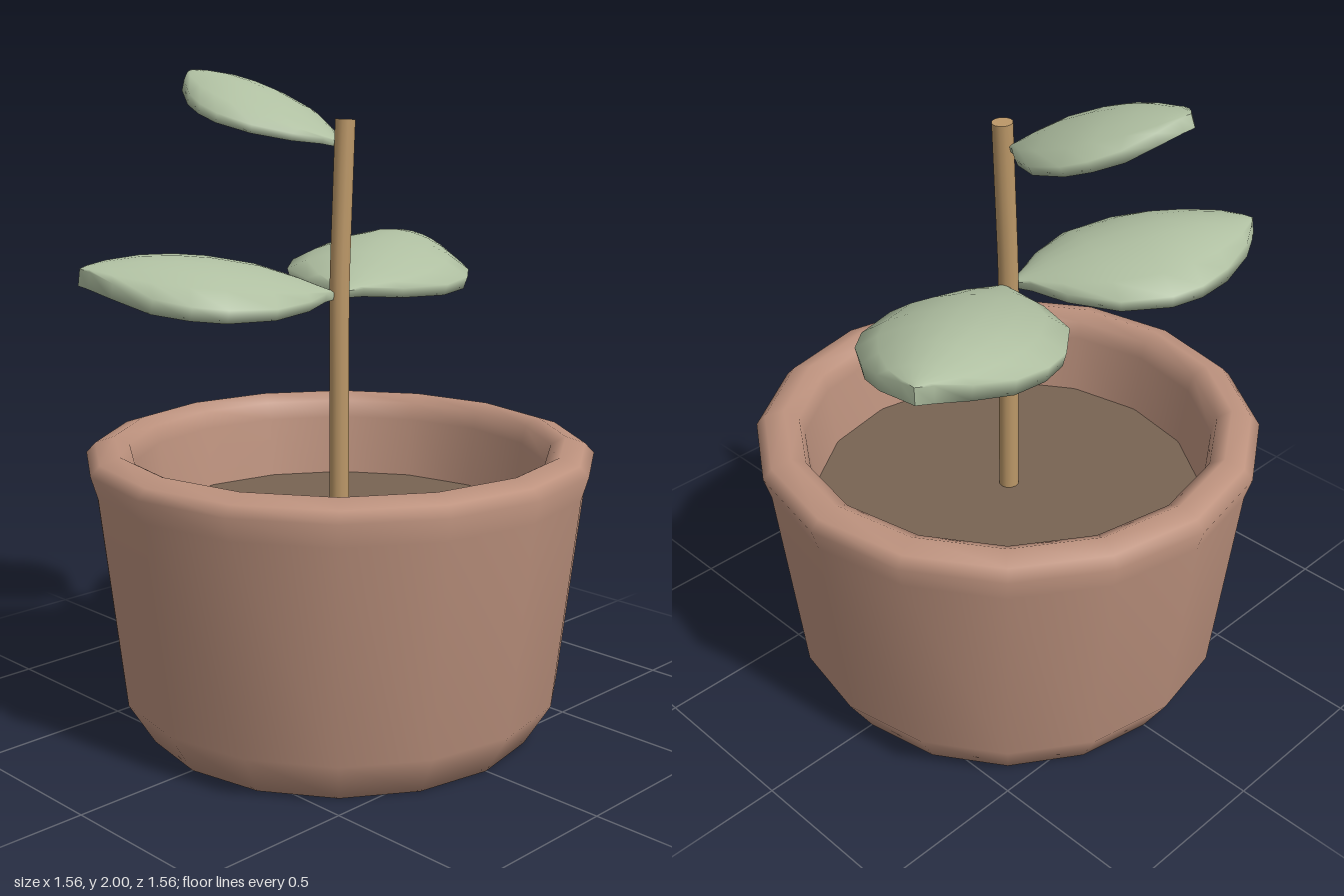
import * as THREE from 'three';

const mat = (name, color, side = THREE.FrontSide) => {
  const m = new THREE.MeshStandardMaterial({ color, side });
  m.name = name;
  return m;
};

// Leaf cross-sections: [position along leaf, half width, midrib height, edge height, thickness]
const LEAF_LENGTH = 0.765;
const LEAF_SECTIONS = [
  [0, 0, 0, 0, 0.02],
  [0.06, 0.05, 0.01, 0, 0.025],
  [0.16, 0.155, 0.03, -0.01, 0.03],
  [0.32, 0.262, 0.055, -0.02, 0.035],
  [0.51, 0.292, 0.065, -0.03, 0.04],
  [0.64, 0.272, 0.063, -0.032, 0.042],
  [0.77, 0.215, 0.052, -0.03, 0.045],
  [0.9, 0.13, 0.03, -0.01, 0.045],
  [0.97, 0.045, 0.01, 0, 0.05],
  [1, 0, 0, 0, 0.05],
];

// Arched, thick leaf pointing along +z
function leafGeometry() {
  const across = 9, ring = across * 2;
  const positions = [], index = [];
  for (const [t, w, mid, edge, thick] of LEAF_SECTIONS) {
    for (let j = 0; j < ring; j++) {
      const top = j < across;
      const k = top ? j : ring - 1 - j;
      const s = (k / (across - 1)) * 2 - 1;
      const y = mid + (edge - mid) * s * s + (top ? thick : -thick) / 2;
      positions.push(s * w * (top ? 1 : 0.96), y, t * LEAF_LENGTH);
    }
  }
  for (let i = 0; i < LEAF_SECTIONS.length - 1; i++) {
    for (let j = 0; j < ring; j++) {
      const a = i * ring + j, b = i * ring + ((j + 1) % ring);
      index.push(a, a + ring, b, b, a + ring, b + ring);
    }
  }
  const g = new THREE.BufferGeometry();
  g.setAttribute('position', new THREE.Float32BufferAttribute(positions, 3));
  g.setIndex(index);
  g.computeVertexNormals();
  return g;
}

// Place a leaf from its base point to its tip point
function makeLeaf(name, geometry, material, base, tip, roll) {
  const leaf = new THREE.Mesh(geometry, material);
  leaf.name = name;
  const dir = tip.clone().sub(base);
  leaf.scale.setScalar(dir.length() / LEAF_LENGTH);
  dir.normalize();
  const x = new THREE.Vector3(0, 1, 0).cross(dir).normalize();
  const y = dir.clone().cross(x);
  leaf.quaternion.setFromRotationMatrix(new THREE.Matrix4().makeBasis(x, y, dir));
  leaf.rotateZ(roll);
  leaf.position.copy(base);
  return leaf;
}

export function createModel() {
  const model = new THREE.Group();
  model.name = 'pottedPlant';
  const clay = mat('clay', 0xbd927e);
  const earth = mat('earth', 0x786453);
  const wood = mat('wood', 0xbc9868);
  const green = mat('leafGreen', 0xafbfa1, THREE.DoubleSide);
  const V = (x, y, z) => new THREE.Vector3(x, y, z);
  const add = (name, geometry, material) => {
    const mesh = new THREE.Mesh(geometry, material);
    mesh.name = name;
    model.add(mesh);
    return mesh;
  };

  // Pot: tapered wall, chamfered foot and rounded rim, hollow to below the soil
  const profile = [
    [0, 0], [0.605, 0], [0.685, 0.13], [0.757, 0.78], [0.778, 0.85],
    [0.75, 0.88], [0.69, 0.9], [0.645, 0.875], [0.63, 0.82], [0.6, 0.58],
  ].map(([r, y]) => new THREE.Vector2(r, y));
  add('pot', new THREE.LatheGeometry(profile, 16), clay);

  // Soil disc
  add('soil', new THREE.CylinderGeometry(0.605, 0.59, 0.04, 32), earth).position.y = 0.61;

  // Stem: straight below, leaning slightly near the top
  const path = new THREE.CatmullRomCurve3([
    V(-0.004, 0.6, 0), V(-0.003, 1.0, 0), V(-0.002, 1.35, 0), V(0.01, 1.62, 0), V(0.022, 1.855, 0),
  ]);
  add('stem', new THREE.TubeGeometry(path, 16, 0.031, 12), wood);
  const cap = add('stemTop', new THREE.CircleGeometry(0.031, 12), wood);
  cap.position.copy(path.getPoint(1));
  cap.lookAt(cap.position.clone().add(path.getTangent(1)));

  // Leaves: a mirrored pair and one at the top
  const leaf = leafGeometry();
  for (const [name, side] of [['leftLeaf', 1], ['rightLeaf', -1]]) {
    model.add(makeLeaf(name, leaf, green,
      V(side * 0.015, 1.335, 0), V(side * 0.69, 1.42, -0.36), side * 0.06));
  }
  model.add(makeLeaf('topLeaf', leaf, green, V(0.015, 1.78, -0.02), V(-0.12, 1.977, -0.55), 0));

  return model;
}
